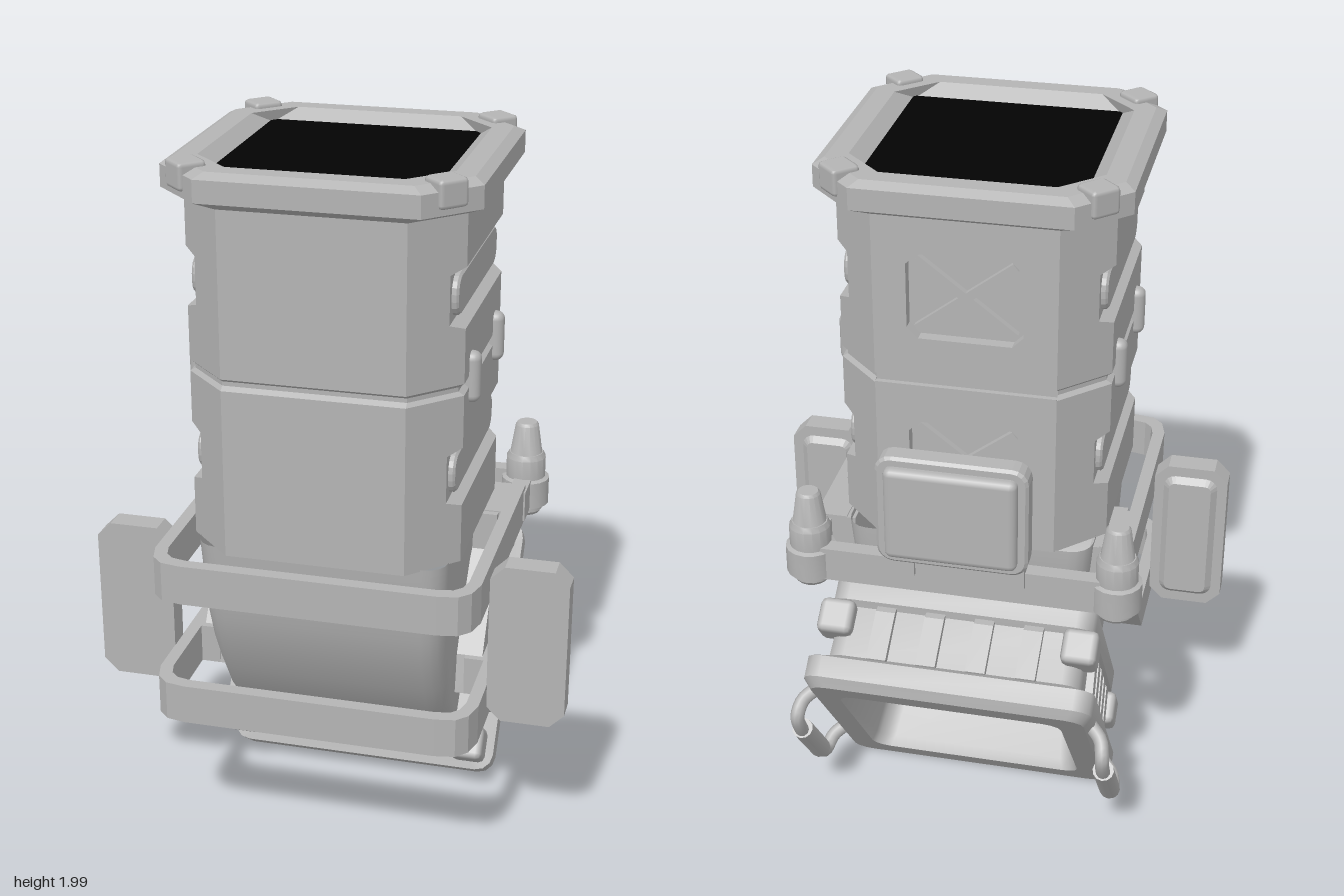
import * as THREE from 'three';
import { toCreasedNormals } from 'three/addons/utils/BufferGeometryUtils.js';
import { RoundedBoxGeometry } from 'three/addons/geometries/RoundedBoxGeometry.js';

const grey = new THREE.MeshStandardMaterial({ color: 0xb4b4b4, side: THREE.DoubleSide });
grey.name = 'grey metal';
const black = new THREE.MeshStandardMaterial({ color: 0x030303, side: THREE.DoubleSide });
black.name = 'black shaft';

const TUBE_Z = 0.105;

function add(parent, name, geo, x = 0, y = 0, z = 0, mat = grey) {
  const mesh = new THREE.Mesh(geo, mat);
  mesh.name = name;
  mesh.position.set(x, y, z);
  parent.add(mesh);
  return mesh;
}
const box = (w, h, d) => new THREE.BoxGeometry(w, h, d);

// Octagon whose corner cuts lie on |p| + |q| = k, counter-clockwise
function octagon(a, b, k) {
  const s = k - a, t = k - b;
  return [[a, -s], [a, s], [t, b], [-t, b], [-a, s], [-a, -s], [-t, -b], [t, -b]];
}

// Rounded rectangle, counter-clockwise
function roundRect(a, b, r, n = 4) {
  const pts = [];
  [[1, 1], [-1, 1], [-1, -1], [1, -1]].forEach(([sx, sy], c) => {
    for (let i = 0; i <= n; i++) {
      const t = (c + i / n) * Math.PI / 2;
      pts.push([sx * (a - r) + r * Math.cos(t), sy * (b - r) + r * Math.sin(t)]);
    }
  });
  return pts;
}

// Skin over a list of closed loops, optionally leaving out one side
function loft(loops, crease = 0.5, skip = -1) {
  const out = [], n = loops[0].length;
  for (let i = 0; i + 1 < loops.length; i++) {
    for (let j = 0; j < n; j++) {
      if (j === skip) continue;
      const k = (j + 1) % n;
      const [a, b, c, d] = [loops[i][j], loops[i][k], loops[i + 1][k], loops[i + 1][j]];
      out.push(...a, ...b, ...c, ...a, ...c, ...d);
    }
  }
  const geo = new THREE.BufferGeometry();
  geo.setAttribute('position', new THREE.Float32BufferAttribute(out, 3));
  return toCreasedNormals(geo, crease);
}

const toShape = pts => new THREE.Shape(pts.map(p => new THREE.Vector2(p[0], p[1])));
const extrude = (shape, depth, bevel = 0) => new THREE.ExtrudeGeometry(shape, {
  depth, bevelEnabled: bevel > 0, bevelThickness: bevel, bevelSize: bevel, bevelOffset: -bevel, bevelSegments: 1,
});
const upright = (y, a, b, k) => octagon(a, b, k).map(([p, q]) => [p, y, TUBE_Z - q]);

function makeTube() {
  const g = new THREE.Group();
  g.name = 'tube';
  // Octagonal skin with sunken side panels and a seam
  const rows = [[0.93, 0.37]];
  const panel = y => rows.push([y - 0.082, 0.37], [y - 0.066, 0.335], [y + 0.066, 0.335], [y + 0.082, 0.37]);
  panel(1.175);
  rows.push([1.402, 0.37], [1.412, 0.355], [1.424, 0.355], [1.434, 0.37]);
  panel(1.665);
  rows.push([1.89, 0.37]);
  const loops = rows.map(([y, a]) => (a === 0.355 ? upright(y, a, a, 0.6) : upright(y, a, 0.37, 0.615)));
  add(g, 'tubeSkin', loft(loops, 0.3, 2));

  // Back wall with two crossed recesses
  add(g, 'backSeam', box(0.49, 0.04, 0.02), 0, 1.418, -0.24);
  for (const [y0, y1, yc] of [[0.93, 1.405, 1.175], [1.431, 1.89, 1.665]]) {
    const wall = toShape([[-0.245, y0], [0.245, y0], [0.245, y1], [-0.245, y1]]);
    const hole = octagon(0.155, 0.12, 0.245).map(([x, y]) => new THREE.Vector2(x, y + yc));
    wall.holes.push(new THREE.Path(hole));
    add(g, 'backWall', extrude(wall, 0.035), 0, 0, -0.265);
    add(g, 'recessFloor', box(0.33, 0.26, 0.01), 0, yc, -0.227);
    for (const s of [-1, 1]) {
      add(g, 'recessCross', box(0.33, 0.024, 0.022), 0, yc, -0.24).rotation.z = s * 0.65;
    }
  }

  // Side ribs and seam clips
  for (const s of [-1, 1]) {
    for (const y of [1.175, 1.665]) {
      const pill = extrude(toShape(roundRect(0.26, 0.055, 0.045)), 0.012, 0.006);
      const m = add(g, 'sidePanel', pill, s * 0.335, y, TUBE_Z);
      m.rotation.y = s * Math.PI / 2;
    }
    for (const z of [0.265, -0.06]) {
      add(g, 'seamClip', new RoundedBoxGeometry(0.055, 0.14, 0.05, 3, 0.022), s * 0.37, 1.425, z);
    }
  }

  // Flared top rim sloping in to the square shaft
  add(g, 'topRim', loft([[1.885, 0.37, 0.37, 0.615], [1.91, 0.417, 0.417, 0.705], [1.97, 0.417, 0.417, 0.705],
    [1.985, 0.39, 0.39, 0.655], [1.985, 0.335, 0.335, 0.565], [1.95, 0.29, 0.29, 0.58]].map(r => upright(...r)), 0.2));
  const cap = box(0.59, 0.006, 0.59).translate(0, 0, -0.005);
  add(g, 'shaftOpening', cap, 0, 1.953, TUBE_Z, black);
  add(g, 'shaftBottom', cap, 0, 0.94, TUBE_Z, black);
  for (const sx of [-1, 1]) for (const sz of [-1, 1]) {
    const c = add(g, 'rimClip', new RoundedBoxGeometry(0.085, 0.075, 0.08, 1, 0.012), sx * 0.332, 1.9625, TUBE_Z + sz * 0.332);
    c.rotation.y = sx * sz * Math.PI / 4;
  }
  return g;
}

function makeElbow() {
  // Each row: front z, front y, back z, back y, half width
  const rows = [[0.12, 0.265, -0.25, 0.74, 0.32], [0.2, 0.325, -0.25, 0.77, 0.325], [0.265, 0.4, -0.25, 0.79, 0.328],
    [0.325, 0.5, -0.252, 0.81, 0.331], [0.375, 0.6, -0.254, 0.83, 0.334], [0.408, 0.7, -0.256, 0.85, 0.337],
    [0.425, 0.8, -0.26, 0.88, 0.34], [0.44, 0.935, -0.262, 0.935, 0.345]];
  return loft(rows.map(([fz, fy, bz, by, w]) => {
    const h = Math.hypot(bz - fz, by - fy) / 2;
    return roundRect(w, h, 0.06).map(([p, q]) => {
      const t = (q / h + 1) / 2;
      return [p, fy + (by - fy) * t, fz + (bz - fz) * t];
    });
  }), 0.7);
}

function makeVent() {
  // Local z runs from the open mouth back into the elbow
  const g = new THREE.Group();
  g.name = 'vent';
  g.position.set(0, 0.301, -0.33);
  g.rotation.x = -0.667;
  const rows = [[0.34, 0.27, 0.25], [0.03, 0.305, 0.28], [0, 0.315, 0.29], [0, 0.385, 0.365], [0.025, 0.405, 0.388],
    [0.085, 0.405, 0.388], [0.105, 0.36, 0.338], [0.25, 0.355, 0.333], [0.265, 0.375, 0.35], [0.325, 0.375, 0.35], [0.345, 0.31, 0.29]];
  add(g, 'ventShell', loft(rows.map(([z, a, b]) => roundRect(a, b, 0.05, 3).map(([x, y]) => [x, y, z])), 0.6));

  // Cooling ribs, clips and handles
  const wedge = toShape([[0, 0.09], [0.028, 0.1], [0.02, 0.24], [0, 0.27]]);
  for (const s of [-1, 1]) {
    for (let i = -2; i <= 2; i++) {
      const rib = extrude(wedge, 0.055).translate(0, 0, -0.0275).rotateX(Math.PI / 2);
      add(g, 'sideRib', rib, 0.355 * s, i * 0.092, 0).rotation.z = s > 0 ? 0 : Math.PI;
      if (i < 2) {
        add(g, 'edgeRib', rib, 0.07 + i * 0.14, 0.333 * s, 0).rotation.z = s * Math.PI / 2;
      }
    }
    for (const t of [-1, 1]) {
      add(g, 'cornerClip', new RoundedBoxGeometry(0.1, 0.1, 0.1, 1, 0.018), s * 0.345, t * 0.325, 0.21);
    }
    const path = new THREE.CatmullRomCurve3([[0.39, -0.19, 0.03], [0.425, -0.19, -0.01], [0.435, -0.18, -0.055], [0.435, -0.14, -0.072],
      [0.435, 0.18, -0.072], [0.435, 0.22, -0.055], [0.425, 0.23, -0.01], [0.39, 0.23, 0.03]]
      .map(([x, y, z]) => new THREE.Vector3(s * x, y, z)));
    add(g, 'handle', new THREE.TubeGeometry(path, 40, 0.02, 10));
    add(g, 'handleGrip', new THREE.CylinderGeometry(0.03, 0.03, 0.24, 12), s * 0.435, 0.02, -0.072);
  }
  return g;
}

// Bumper band wrapped around the front, seen from above
function band(back) {
  const half = [[0.45, back], [0.45, 0.46], [0.435, 0.515], [0.405, 0.545], [0.35, 0.555]];
  const inner = [[0.345, 0.517], [0.385, 0.508], [0.405, 0.488], [0.415, 0.45], [0.415, back]];
  const flip = a => a.map(([x, z]) => [-x, z]).reverse();
  const pts = [...half, ...flip(half), ...flip(inner), ...inner];
  return extrude(toShape(pts.map(([x, z]) => [x, -z])), 0.113).rotateX(-Math.PI / 2);
}

function makeFrame() {
  const g = new THREE.Group();
  g.name = 'frame';
  add(g, 'upperBand', band(-0.2), 0, 0.81, 0);
  add(g, 'lowerBand', band(0.2), 0, 0.445, 0);
  add(g, 'rearCrossbar', box(0.8, 0.1, 0.045), 0, 0.865, -0.34);

  // Side plate with its outline given as [-z, y], spanning x0 to x1 on one side
  const sidePlate = (name, pts, s, x0, x1) => {
    add(g, name, extrude(toShape(pts), x1 - x0), s > 0 ? x0 : -x1, 0, 0).rotation.y = Math.PI / 2;
  };
  for (const s of [-1, 1]) {
    // Diagonal side strut and its mounts
    sidePlate('sideStrut', [[-0.12, 0.445], [-0.21, 0.445], [-0.19, 0.558], [-0.02, 0.81], [-0.02, 0.92], [0.2, 0.92], [0.2, 0.81]],
      s, 0.335, 0.408);
    sidePlate('lowerMount', [[-0.12, 0.445], [-0.21, 0.445], [-0.21, 0.558], [-0.021, 0.558]], s, 0.36, 0.45);
    add(g, 'upperMount', box(0.08, 0.113, 0.2), s * 0.4, 0.8665, -0.1);
    add(g, 'postArm', box(0.05, 0.09, 0.2), s * 0.43, 0.865, -0.27);

    // Corner post
    const post = [[0, 0.79], [0.045, 0.79], [0.052, 0.8], [0.052, 0.82], [0.07, 0.82], [0.07, 0.9], [0.058, 0.905],
      [0.058, 0.965], [0.05, 0.98], [0.047, 0.98], [0.034, 1.065], [0.028, 1.073], [0, 1.073]];
    const lathe = new THREE.LatheGeometry(post.map(p => new THREE.Vector2(...p)), 16);
    add(g, 'cornerPost', toCreasedNormals(lathe, 0.5), s * 0.43, 0, -0.32);

    // Side paddle, flat in front and raised behind
    add(g, 'sidePaddle', extrude(toShape(octagon(0.108, 0.235, 0.303)), 0.068), s * 0.557, 0.685, 0.272);
    add(g, 'paddlePad', extrude(toShape(roundRect(0.08, 0.205, 0.035)), 0.01, 0.018), s * 0.557, 0.685, 0.273);
  }

  // Rear box on two brackets
  add(g, 'rearBox', extrude(toShape(roundRect(0.207, 0.163, 0.045)), 0.049, 0.008), 0, 1.117, -0.432);
  add(g, 'rearBoxPad', new RoundedBoxGeometry(0.36, 0.275, 0.122, 2, 0.02), 0, 1.117, -0.406);
  for (const s of [-1, 1]) add(g, 'rearBracket', box(0.065, 0.17, 0.045), s * 0.153, 0.955, -0.352);
  return g;
}

export function createModel() {
  const model = new THREE.Group();
  model.name = 'ventilationDuct';
  model.add(makeTube(), makeVent(), makeFrame());
  add(model, 'elbow', makeElbow());
  return model;
}
